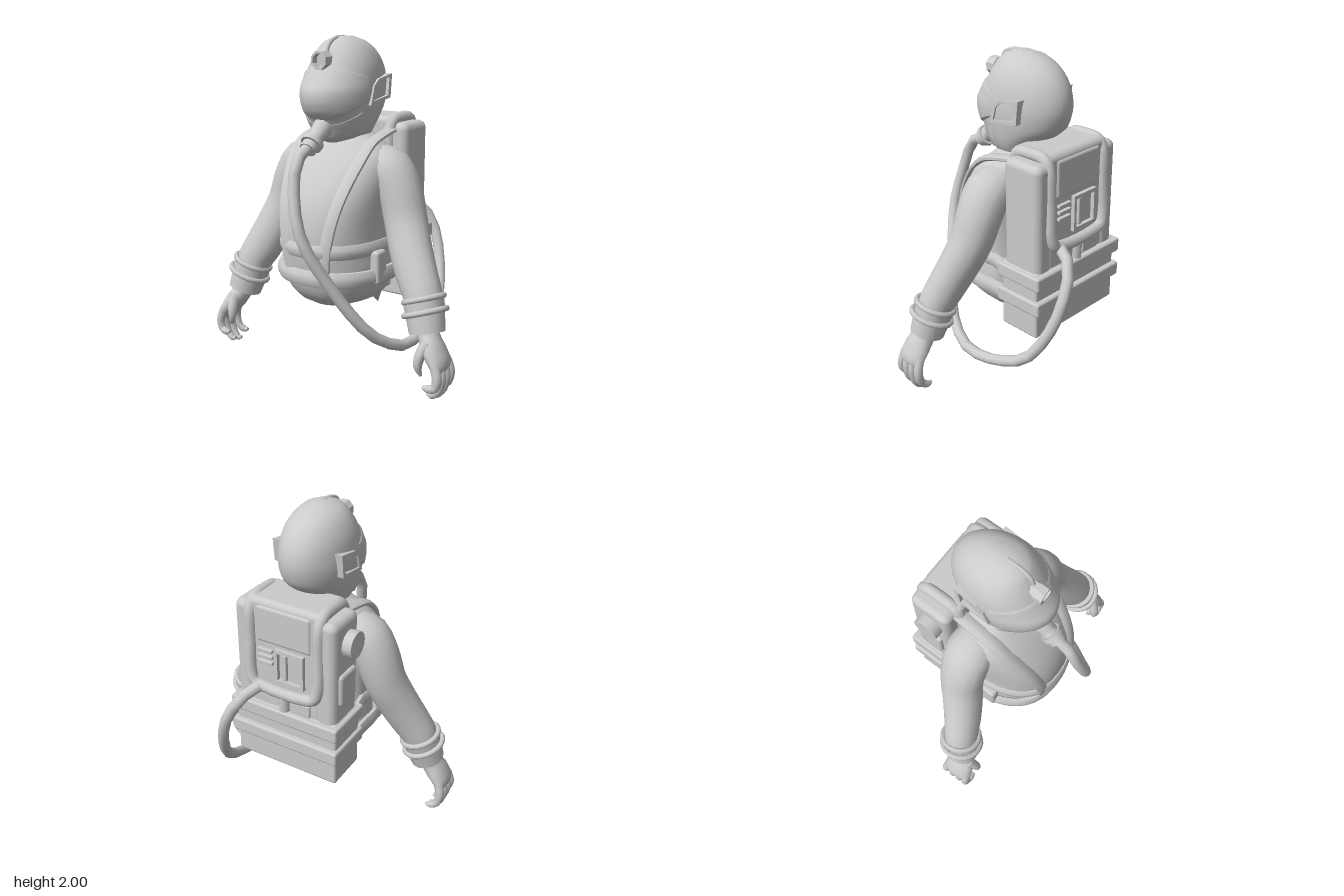
import * as THREE from 'three';
import { toCreasedNormals } from 'three/addons/utils/BufferGeometryUtils.js';
import { RoundedBoxGeometry } from 'three/addons/geometries/RoundedBoxGeometry.js';
import { ParametricGeometry } from 'three/addons/geometries/ParametricGeometry.js';

const V = (x, y, z) => new THREE.Vector3(x, y, z);
const { lerp, clamp } = THREE.MathUtils;
const grey = new THREE.MeshStandardMaterial({ color: 0xcccccc });
const thin = new THREE.MeshStandardMaterial({ color: 0xcccccc, side: THREE.DoubleSide });

// Skin a row of equal rings, with both ends capped
function loft(rings, crease = 0.9) {
  const n = rings[0].length, pos = [], idx = [];
  rings.forEach(r => r.forEach(p => pos.push(p.x, p.y, p.z)));
  for (let i = 0; i < rings.length - 1; i++) for (let j = 0; j < n; j++) {
    const a = i * n + j, b = i * n + (j + 1) % n;
    idx.push(a, b, b + n, a, b + n, a + n);
  }
  [0, rings.length - 1].forEach((i, end) => {
    const c = rings[i].reduce((s, p) => s.add(p), V(0, 0, 0)).divideScalar(n), k = pos.length / 3;
    pos.push(c.x, c.y, c.z);
    for (let j = 0; j < n; j++) {
      const a = i * n + j, b = i * n + (j + 1) % n;
      if (end) idx.push(k, a, b); else idx.push(k, b, a);
    }
  });
  const g = new THREE.BufferGeometry();
  g.setAttribute('position', new THREE.Float32BufferAttribute(pos, 3));
  g.setIndex(idx);
  return toCreasedNormals(g, crease);
}

// Sweep an oval along a smooth path; sizes are [along up, across up] per point, or one pair for all
function sweep(pts, sizes, up, sides = 12, per = 3) {
  const curve = new THREE.CatmullRomCurve3(pts), steps = (pts.length - 1) * per, rings = [];
  for (let i = 0; i <= steps; i++) {
    const k = Math.min(Math.floor(i / per), pts.length - 2), f = i / per - k;
    const [s0, s1] = Array.isArray(sizes[0]) ? [sizes[k], sizes[k + 1]] : [sizes, sizes];
    const p = curve.getPoint(i / steps), t = curve.getTangent(i / steps);
    const n = up.clone().addScaledVector(t, -up.dot(t)).normalize(), b = t.clone().cross(n);
    rings.push(Array.from({ length: sides }, (_, j) => {
      const a = (j + 0.5) / sides * Math.PI * 2;
      return p.clone().addScaledVector(n, Math.cos(a) * lerp(s0[0], s1[0], f))
        .addScaledVector(b, Math.sin(a) * lerp(s0[1], s1[1], f));
    }));
  }
  return loft(rings);
}

// Body sections: height, half width, back z, front z
const TORSO = [[0.43, 0.16, -0.1, 0.27], [0.46, 0.23, -0.12, 0.32], [0.52, 0.29, -0.13, 0.37], [0.62, 0.325, -0.14, 0.405],
  [0.8, 0.31, -0.14, 0.435], [0.95, 0.315, -0.14, 0.43], [1.08, 0.33, -0.14, 0.395], [1.2, 0.34, -0.14, 0.33],
  [1.31, 0.33, -0.14, 0.25], [1.37, 0.28, -0.14, 0.19], [1.42, 0.21, -0.13, 0.14], [1.46, 0.13, -0.1, 0.1]];
const HEAD = [[1.38, 0.1, -0.08, 0.16], [1.42, 0.155, -0.11, 0.2], [1.48, 0.187, -0.14, 0.235], [1.53, 0.2, -0.2, 0.265],
  [1.58, 0.207, -0.26, 0.305], [1.64, 0.214, -0.287, 0.328], [1.7, 0.216, -0.3, 0.325], [1.76, 0.21, -0.297, 0.288],
  [1.82, 0.2, -0.28, 0.25], [1.88, 0.178, -0.245, 0.215], [1.93, 0.148, -0.195, 0.18], [1.97, 0.105, -0.125, 0.145],
  [1.995, 0.045, -0.05, 0.085]];

// Smoothly blended section at height y
function section(rows, y) {
  let i = 0;
  while (i < rows.length - 2 && rows[i + 1][0] < y) i++;
  const f = clamp((y - rows[i][0]) / (rows[i + 1][0] - rows[i][0]), 0, 1);
  const [p, q, r, s] = [-1, 0, 1, 2].map(k => rows[clamp(i + k, 0, rows.length - 1)]);
  return q.map((v, k) => v + 0.5 * f * (r[k] - p[k] + f * (2 * p[k] - 5 * v + 4 * r[k] - s[k] + f * (3 * (v - r[k]) + s[k] - p[k]))));
}
function surface(rows, y, a, e = 1, off = 0) {
  const [, w, zb, zf] = section(rows, y), c = 0.02;
  const pw = v => Math.sign(v) * Math.abs(v) ** e;
  const depth = (Math.cos(a) > 0 ? zf - c : c - zb) + off;
  return V((w + off) * pw(Math.sin(a)), y, c + depth * pw(Math.cos(a)));
}
function body(rows, e, n = 36, per = 2) {
  const rings = Array.from({ length: (rows.length - 1) * per + 1 }, (_, i) => {
    const k = Math.min(Math.floor(i / per), rows.length - 2), y = lerp(rows[k][0], rows[k + 1][0], i / per - k);
    return Array.from({ length: n }, (_, j) => surface(rows, y, j / n * Math.PI * 2, e));
  });
  return loft(rings, 1.2);
}
const onTorso = (x, y, off) =>
  surface(TORSO, y, Math.asin(Math.sign(x) * (Math.abs(x) / section(TORSO, y)[1]) ** (1 / 0.85)), 0.85, off);

// Flat frame with an optional inset hole
function frame(corners, depth, hole) {
  const c = corners.reduce((s, p) => [s[0] + p[0] / corners.length, s[1] + p[1] / corners.length], [0, 0]);
  const shape = new THREE.Shape(corners.map(p => new THREE.Vector2(...p)));
  if (hole) shape.holes.push(new THREE.Path(corners.map(p =>
    new THREE.Vector2(c[0] + (p[0] - c[0]) * hole, c[1] + (p[1] - c[1]) * hole))));
  return new THREE.ExtrudeGeometry(shape, { depth, bevelEnabled: false });
}

export function createModel() {
  const model = new THREE.Group();
  const add = (name, geo, x = 0, y = 0, z = 0, mat = grey) => {
    const m = new THREE.Mesh(geo, mat);
    m.name = name;
    m.position.set(x, y, z);
    model.add(m);
    return m;
  };
  const box = (name, w, h, d, x, y, z, r = 0.02) => add(name, new RoundedBoxGeometry(w, h, d, 2, r), x, y, z);
  const tube = (name, pts, r, seg = 30, sides = 10) =>
    add(name, new THREE.TubeGeometry(new THREE.CatmullRomCurve3(pts.map(p => V(...p))), seg, r, sides));
  const rod = (name, a, b, r0, r1) => {
    const d = b.clone().sub(a), mid = a.clone().add(b).multiplyScalar(0.5);
    const m = add(name, new THREE.CylinderGeometry(r1, r0, d.length(), 14), mid.x, mid.y, mid.z);
    m.quaternion.setFromUnitVectors(V(0, 1, 0), d.normalize());
  };

  // Torso and torn hem at the back
  add('torso', body(TORSO, 0.85));
  [[-0.1, -0.08], [0.1, -0.09], [0.19, -0.05]].forEach(([x, z]) => {
    add('tornHem', new THREE.ConeGeometry(0.045, 0.1, 5), x, 0.43, z).rotation.x = Math.PI + 0.35;
  });

  // Helmet, visor and mouth mask
  add('helmet', body(HEAD, 1));
  const shell = (name, span, low, high, lift) => add(name, new ParametricGeometry((u, v, out) => {
    const k = 2 * u - 1, y = lerp(low(k * k), high(k * k), v);
    const edge = Math.min(1, 20 * Math.min(u, 1 - u), 20 * Math.min(v, 1 - v));
    out.copy(surface(HEAD, y, k * span, 1, -0.003 + lift * edge));
  }, 40, 20), 0, 0, 0, thin);
  shell('visor', 1.45, q => 1.525 + 0.13 * q, q => 1.83 - 0.07 * q, 0.013);
  shell('mouthMask', 1.3, q => 1.42 + 0.03 * q, q => 1.5 + 0.09 * q, 0.013);
  const ear = [[-0.08, 1.61], [0.13, 1.64], [0.145, 1.78], [0.0, 1.755], [-0.045, 1.72]];
  [1, -1].forEach(s => {
    add('earFrame', frame(ear, 0.07, 0.75), s > 0 ? 0.155 : -0.225).rotation.y = Math.PI / 2;
    add('earPanel', frame(ear, 0.05), s > 0 ? 0.155 : -0.205).rotation.y = Math.PI / 2;
  });

  // Head lamp and its cable
  const octagon = Array.from({ length: 8 }, (_, i) =>
    [0.055 * Math.cos((i + 0.5) * Math.PI / 4), 0.055 * Math.sin((i + 0.5) * Math.PI / 4)]);
  add('lampRim', frame(octagon, 0.06, 0.75), 0, 1.865, 0.22);
  add('lampBody', frame(octagon.map(p => p.map(v => v * 0.9)), 0.1), 0, 1.865, 0.14);
  tube('lampCable', [[0, 1.9, 0.2], [0, 1.955, 0.175], [0, 1.985, 0.11], [0, 1.99, 0.03]], 0.013, 12, 6);

  // Regulator and long breathing hose round to the pack
  const mouth = V(0, 1.49, 0.235), dir = V(0, -0.6, 0.8);
  const along = t => mouth.clone().addScaledVector(dir, t);
  [[0, 0.1, 0.06, 0.048], [0.06, 0.14, 0.045, 0.052], [0.12, 0.15, 0.065, 0.065], [0.14, 0.19, 0.05, 0.05]]
    .forEach(([a, b, r0, r1]) => rod('regulator', along(a), along(b), r0, r1));
  tube('breathingHose', [[0, 1.4, 0.36], [0, 1.33, 0.48], [0.01, 1.2, 0.53], [0.08, 0.93, 0.572], [0.2, 0.65, 0.48],
    [0.37, 0.33, 0.3], [0.45, 0.22, 0.12], [0.46, 0.2, 0], [0.455, 0.24, -0.2], [0.43, 0.34, -0.4], [0.37, 0.55, -0.53],
    [0.3, 0.77, -0.575], [0.22, 0.92, -0.53], [0.16, 0.97, -0.41]], 0.034, 26);

  // Arms, cuffs, hands and shoulder straps, mirrored
  for (const s of [1, -1]) {
    const P = list => list.map(([x, y, z]) => V(s * x, y, z));
    add('sleeve', sweep(P([[0.2, 1.29, 0], [0.31, 1.24, 0.005], [0.38, 1.12, 0.01], [0.43, 0.97, 0.025], [0.49, 0.82, 0.07],
      [0.56, 0.68, 0.115], [0.62, 0.57, 0.145], [0.665, 0.38, 0.185]]),
      [[0.12, 0.1], [0.145, 0.13], [0.14, 0.13], [0.128, 0.125], [0.118, 0.128], [0.11, 0.125], [0.105, 0.115], [0.09, 0.1]], V(0, 0, 1), 16));
    const cuffAxis = V(s * 0.35, -0.93, 0.17).normalize();
    [[0.63, 0.555, 0.15, 0.116], [0.65, 0.485, 0.165, 0.123]].forEach(([x, y, z, r]) => {
      add('cuffRing', new THREE.TorusGeometry(r, 0.017, 8, 20), s * x, y, z).quaternion.setFromUnitVectors(V(0, 0, 1), cuffAxis);
    });
    rod('cuff', V(s * 0.625, 0.56, 0.15), V(s * 0.675, 0.375, 0.185), 0.122, 0.105);

    add('palm', sweep(P([[0.665, 0.42, 0.18], [0.69, 0.36, 0.19], [0.735, 0.29, 0.21], [0.78, 0.22, 0.215], [0.785, 0.18, 0.215]]),
      [[0.065, 0.06], [0.07, 0.06], [0.095, 0.058], [0.1, 0.045], [0.08, 0.028]], V(0, 0, 1), 14));
    [[0.285, 0.3, 0.09], [0.24, 0.245, 0.03], [0.19, 0.19, 0.015], [0.145, 0.125, 0.05]].forEach(([z, tip, y]) => {
      const m = (z + tip) / 2;
      add('finger', sweep(P([[0.775, 0.24, z], [0.8, 0.16, m], [0.785, 0.06 + y / 2, m], [0.745, y + 0.005, tip], [0.715, y + 0.01, tip]]),
        [[0.027, 0.029], [0.027, 0.028], [0.025, 0.026], [0.022, 0.022], [0.01, 0.01]], V(0, 0, 1), 8));
    });
    add('thumb', sweep(P([[0.71, 0.34, 0.25], [0.69, 0.27, 0.295], [0.685, 0.21, 0.305], [0.7, 0.16, 0.295]]),
      [[0.04, 0.035], [0.033, 0.03], [0.025, 0.024], [0.009, 0.009]], V(0, 0, 1), 8));

    const strap = [[0.115, 0.68], [0.13, 0.8], [0.155, 0.95], [0.18, 1.08], [0.205, 1.2], [0.228, 1.31]]
      .map(([x, y]) => onTorso(s * x, y, 0.002));
    add('shoulderStrap', sweep([...strap, ...P([[0.235, 1.39, 0.11], [0.235, 1.425, 0], [0.23, 1.45, -0.14]])],
      [0.042, 0.02], V(1, 0, 0), 8));
    box('beltClip', 0.06, 0.2, 0.1, s * 0.325, 0.69, 0.15);
  }

  // Padded belts round the belly, with bands round the pack
  [[0.8, 0.045, -0.003], [0.635, 0.05, 0.014]].forEach(([y, h, off]) => {
    const arc = Array.from({ length: 19 }, (_, i) => surface(TORSO, y, (i / 18 - 0.5) * 3.5, 0.85, off));
    add('belt', sweep([V(-0.34, y, -0.18), ...arc, V(0.34, y, -0.18)], [h, 0.026], V(0, 1, 0), 8, 2));
    box('packBand', 0.73, 0.09, 0.33, 0, y, -0.27, 0.015);
  });

  // Backpack body
  box('packBase', 0.69, 0.42, 0.275, 0, 0.64, -0.265, 0.015);
  box('packCore', 0.5, 1.06, 0.29, 0, 1.0, -0.25, 0.04);
  [1, -1].forEach(s => box('packColumn', 0.13, 0.92, 0.27, s * 0.268, 1.03, -0.265, 0.045));
  add('sideCanister', new THREE.CylinderGeometry(0.08, 0.08, 0.12, 14), -0.33, 1.33, -0.25).rotation.z = Math.PI / 2;
  box('sidePouch', 0.06, 0.2, 0.17, -0.325, 1.06, -0.27);

  // Pipe frame over the pack's top and down its back
  [1, -1].forEach(s => tube('pipeFrame', [[s * 0.225, 1.44, -0.12], [s * 0.225, 1.495, -0.15], [s * 0.225, 1.51, -0.25], [s * 0.225, 1.5, -0.35],
    [s * 0.225, 1.45, -0.38], [s * 0.225, 1.25, -0.39], [s * 0.225, 1.06, -0.4], [s * 0.2, 0.99, -0.405], [s * 0.1, 0.965, -0.405],
    [0, 0.96, -0.405]], 0.036, 40));
  tube('pipeStem', [[0, 0.97, -0.4], [0, 0.9, -0.4], [0, 0.82, -0.395]], 0.032, 6);

  // Back panel, vents and recessed hatch
  box('backPanel', 0.36, 0.23, 0.04, 0, 1.38, -0.385);
  [1.14, 1.18, 1.22].forEach(y => box('ventBar', 0.1, 0.02, 0.03, 0.12, y, -0.4, 0.005));
  add('hatchFrame', frame([[-0.14, 1.03], [0.05, 1.03], [0.05, 1.25], [-0.14, 1.25]], 0.03, 0.8), 0, 0, -0.42);
  box('hatchHandle', 0.03, 0.17, 0.03, -0.01, 1.14, -0.4, 0.008);
  box('lowerPlate', 0.13, 0.08, 0.03, -0.11, 0.89, -0.395, 0.008);
  return model;
}
